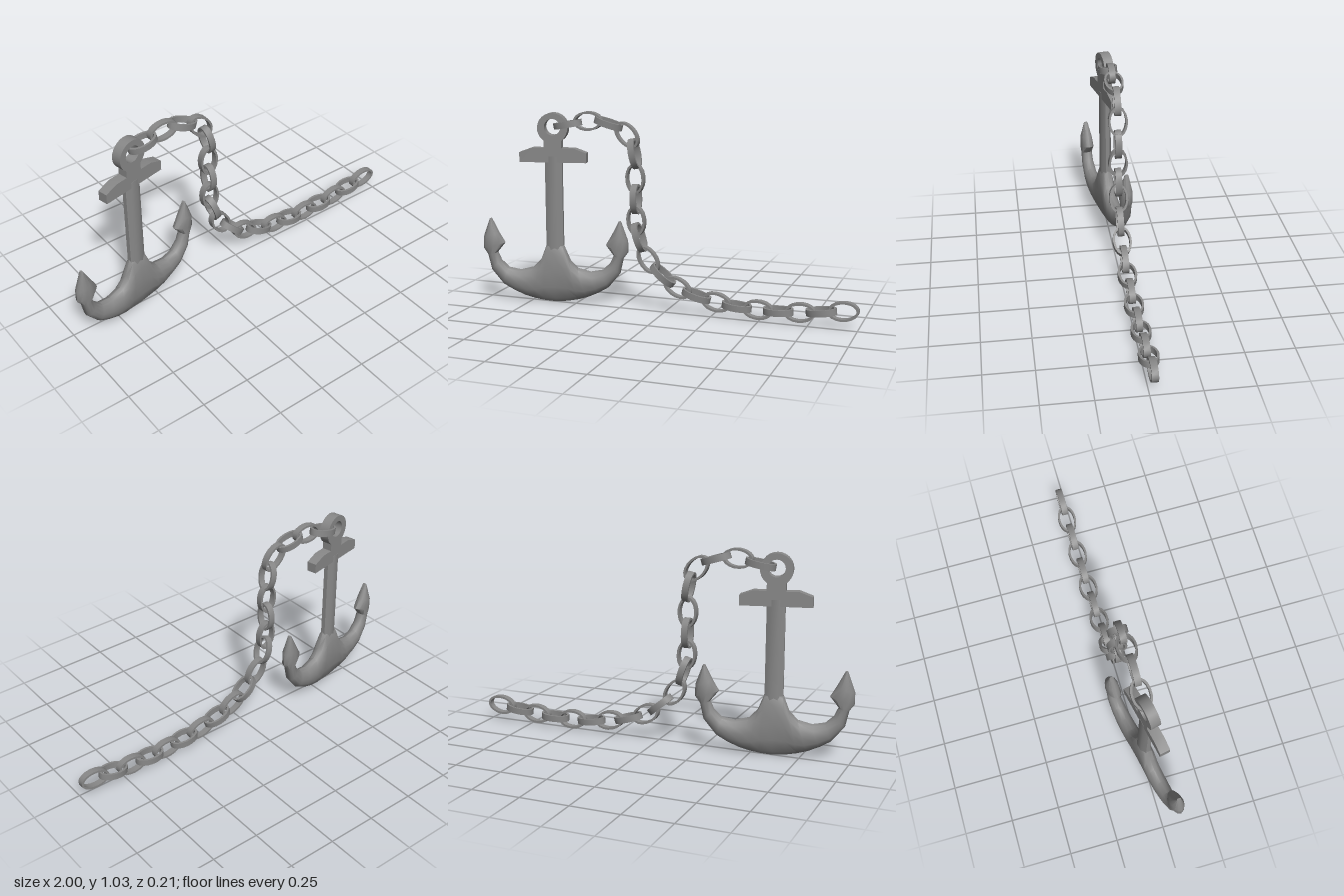
import * as THREE from 'three';
import { toCreasedNormals } from 'three/addons/utils/BufferGeometryUtils.js';

const iron = new THREE.MeshStandardMaterial({ color: 0x888888 });
iron.name = 'grey iron';

function part(name, geometry, crease = 0.7) {
  const mesh = new THREE.Mesh(toCreasedNormals(geometry, crease), iron);
  mesh.name = name;
  return mesh;
}

// Flat plate of a given thickness, centred on z = 0
function plate(shape, depth, curveSegments = 12) {
  return new THREE.ExtrudeGeometry(shape, { depth, bevelEnabled: false, curveSegments })
    .translate(0, 0, -depth / 2);
}

// Skin over oval sections, each [outerX, outerY, innerX, innerY, halfThickness]
function loft(sections, sides = 12) {
  const pos = [], index = [];
  for (const [ox, oy, ix, iy, t] of sections) {
    for (let j = 0; j < sides; j++) {
      const a = (j / sides) * Math.PI * 2, c = Math.cos(a) / 2;
      pos.push((ox + ix) / 2 + (ox - ix) * c, (oy + iy) / 2 + (oy - iy) * c, -t * Math.sin(a));
    }
  }
  const last = (sections.length - 1) * sides;
  for (let i = 0; i < sections.length - 1; i++) {
    for (let j = 0; j < sides; j++) {
      const k = (j + 1) % sides, r = i * sides, s = r + sides;
      index.push(r + j, r + k, s + k, r + j, s + k, s + j);
    }
  }
  for (let j = 1; j < sides - 1; j++) {
    index.push(0, j + 1, j, last, last + j, last + j + 1);
  }
  const g = new THREE.BufferGeometry();
  g.setAttribute('position', new THREE.Float32BufferAttribute(pos, 3));
  g.setIndex(index);
  return g;
}

function createAnchor() {
  const anchor = new THREE.Group();
  anchor.name = 'anchor';

  // Curved arms ending in barbed flukes: one half, mirrored about the shank
  const half = [
    [0.065, 0.006, 0.045, 0.32, 0.042],
    [0.12, 0.016, 0.077, 0.235, 0.043],
    [0.17, 0.03, 0.12, 0.19, 0.043],
    [0.23, 0.056, 0.19, 0.172, 0.041],
    [0.285, 0.088, 0.255, 0.184, 0.038],
    [0.35, 0.168, 0.296, 0.222, 0.034],
    [0.368, 0.25, 0.315, 0.265, 0.032],
    [0.394, 0.285, 0.272, 0.318, 0.036],
    [0.392, 0.345, 0.303, 0.37, 0.032],
    [0.355, 0.447, 0.343, 0.447, 0.011],
  ];
  const mirrored = half.map(([ox, oy, ix, iy, t]) => [-ox, oy, -ix, iy, t]).reverse();
  anchor.add(part('armsAndFlukes', loft([...mirrored, [0, 0, 0, 0.35, 0.042], ...half]), 0.75));

  // Shank
  const shank = new THREE.CylinderGeometry(0.049, 0.05, 0.64, 8)
    .rotateY(Math.PI / 8).scale(1, 1, 0.6).translate(0, 0.47, 0);
  anchor.add(part('shank', shank, 0.9));

  // Stock with sloping ends
  const stock = new THREE.Shape([
    [-0.178, 0.757], [0.178, 0.757], [0.178, 0.808], [0.112, 0.832], [-0.112, 0.832], [-0.178, 0.808],
  ].map(([x, y]) => new THREE.Vector2(x, y)));
  anchor.add(part('stock', plate(stock, 0.052)));

  // Neck and eye
  const eye = new THREE.Shape();
  eye.moveTo(-0.046, 0.82);
  eye.lineTo(0.046, 0.82);
  eye.absarc(0, 0.936, 0.08, -0.958, Math.PI + 0.958, false);
  eye.closePath();
  const hole = new THREE.Path();
  hole.absarc(0, 0.942, 0.043, 0, Math.PI * 2, true);
  eye.holes.push(hole);
  anchor.add(part('neckAndEye', plate(eye, 0.052, 10)));

  anchor.position.x = -0.615;
  anchor.rotation.y = 0.21;
  return anchor;
}

function createChain() {
  const chain = new THREE.Group();
  chain.name = 'chain';

  // Oval band link
  const oval = new THREE.Shape();
  oval.absellipse(0, 0, 0.079, 0.05, 0, Math.PI * 2, false);
  const inside = new THREE.Path();
  inside.absellipse(0, 0, 0.067, 0.039, 0, Math.PI * 2, true);
  oval.holes.push(inside);
  const linkGeometry = plate(oval, 0.033, 9);

  // Link centres from the anchor eye to the free end
  const centres = [
    [-0.535, 0.957], [-0.42, 0.978], [-0.307, 0.97], [-0.206, 0.915], [-0.166, 0.82],
    [-0.162, 0.692], [-0.16, 0.585], [-0.158, 0.472], [-0.142, 0.385], [-0.093, 0.27],
    [-0.013, 0.195], [0.067, 0.136], [0.168, 0.102], [0.275, 0.077], [0.383, 0.064],
    [0.494, 0.057], [0.598, 0.059], [0.709, 0.063], [0.815, 0.077], [0.925, 0.089],
  ];
  centres.forEach(([x, y], i) => {
    const a = centres[Math.max(i - 1, 0)], b = centres[Math.min(i + 1, centres.length - 1)];
    const link = part('chainLink' + (i + 1), linkGeometry);
    // Every other link is turned a quarter about the chain's line
    if (i % 2 === 0) link.rotation.x = Math.PI / 2;
    link.rotation.order = 'ZYX';
    link.rotation.z = Math.atan2(b[1] - a[1], b[0] - a[0]);
    link.position.set(x, y, -0.014 - 0.012 * x);
    chain.add(link);
  });
  return chain;
}

export function createModel() {
  const model = new THREE.Group();
  model.name = 'anchorWithChain';
  model.add(createAnchor(), createChain());
  return model;
}
